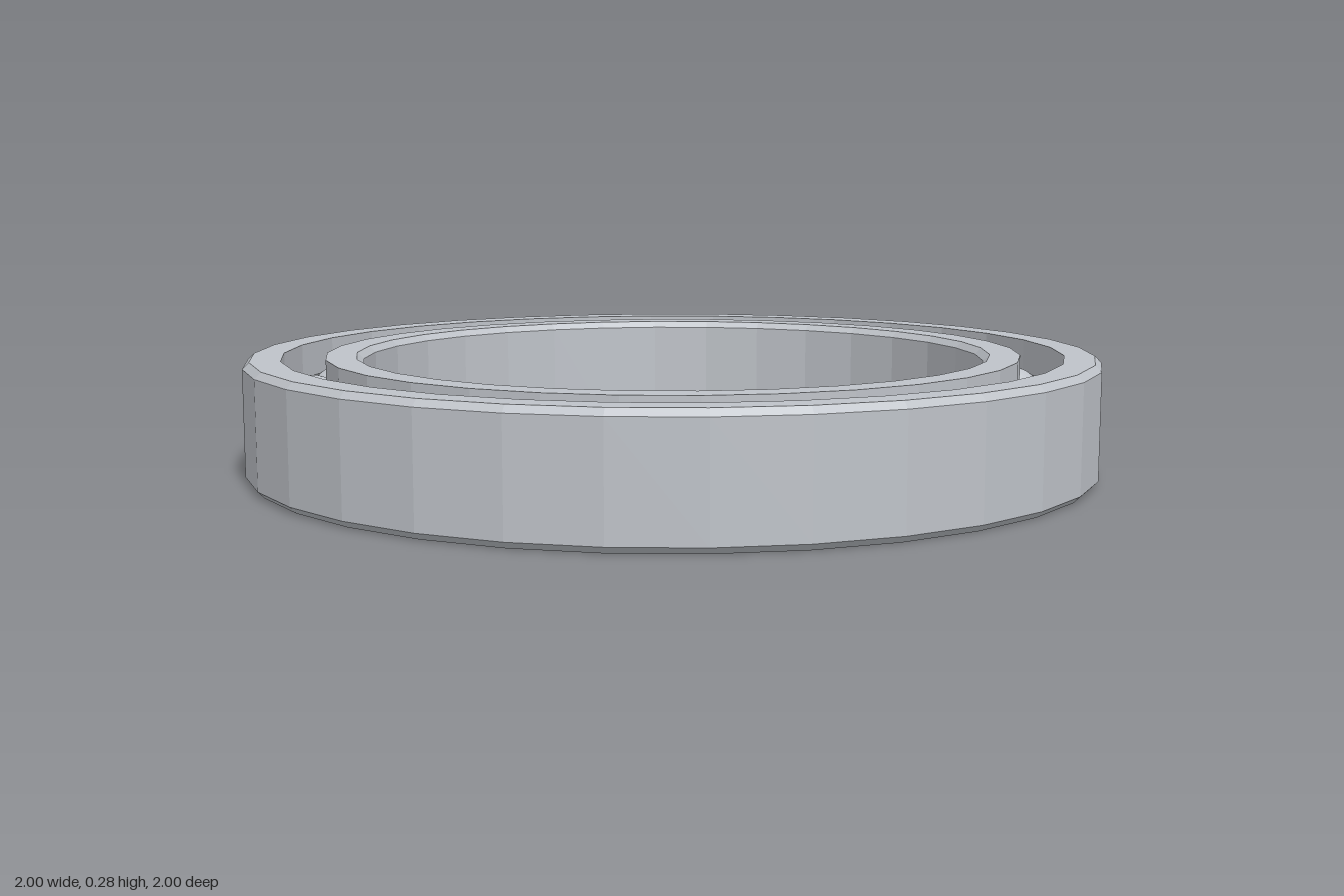
import * as THREE from 'three';

const HEIGHT = 0.275, MID = HEIGHT / 2, CHAMFER = 0.015;
const SEGMENTS = 32, BALLS = 26, PITCH = 0.865, BALL_R = 0.075;

const steel = new THREE.MeshStandardMaterial({ color: 0xbfc3c9 });
steel.name = 'steel';
steel.flatShading = true;

// Raceway groove: arc around the ball centre, cut into the wall at wallRadius
function groove(wallRadius, steps = 8) {
  const offset = wallRadius - PITCH;
  const half = Math.acos(Math.abs(offset) / BALL_R);
  const side = Math.sign(offset);
  const points = [];
  for (let i = 0; i <= steps; i++) {
    const a = half * (1 - (2 * i) / steps) * side; // down on the outer wall, up on the inner
    points.push([PITCH + side * BALL_R * Math.cos(a), MID + BALL_R * Math.sin(a)]);
  }
  return points;
}

// Revolves a closed, counter-clockwise section around y
function ring(name, section) {
  const points = [...section, section[0]].map(([r, y]) => new THREE.Vector2(r, y));
  const mesh = new THREE.Mesh(new THREE.LatheGeometry(points, SEGMENTS), steel);
  mesh.name = name;
  return mesh;
}

export function createModel() {
  const model = new THREE.Group();
  model.name = 'ballBearing';

  // Outer ring: chamfered rim, grooved inner wall
  const rim = 1, outerWall = 0.915;
  model.add(ring('outerRing', [
    [outerWall, 0], [rim - CHAMFER, 0], [rim, CHAMFER],
    [rim, HEIGHT - CHAMFER], [rim - CHAMFER, HEIGHT], [outerWall, HEIGHT],
    ...groove(outerWall),
  ]));

  // Inner ring: chamfered bore, grooved outer wall
  const bore = 0.73, innerWall = 0.815;
  model.add(ring('innerRing', [
    [innerWall, 0], ...groove(innerWall), [innerWall, HEIGHT],
    [bore + CHAMFER, HEIGHT], [bore, HEIGHT - CHAMFER],
    [bore, CHAMFER], [bore + CHAMFER, 0],
  ]));

  // Balls between the raceways
  const balls = new THREE.Group();
  balls.name = 'balls';
  const ballGeometry = new THREE.SphereGeometry(BALL_R, 32, 16);
  for (let i = 0; i < BALLS; i++) {
    const a = (i / BALLS) * Math.PI * 2;
    const ball = new THREE.Mesh(ballGeometry, steel);
    ball.name = 'ball';
    ball.position.set(PITCH * Math.cos(a), MID, PITCH * Math.sin(a));
    ball.rotation.y = -a;
    balls.add(ball);
  }
  model.add(balls);

  return model;
}
